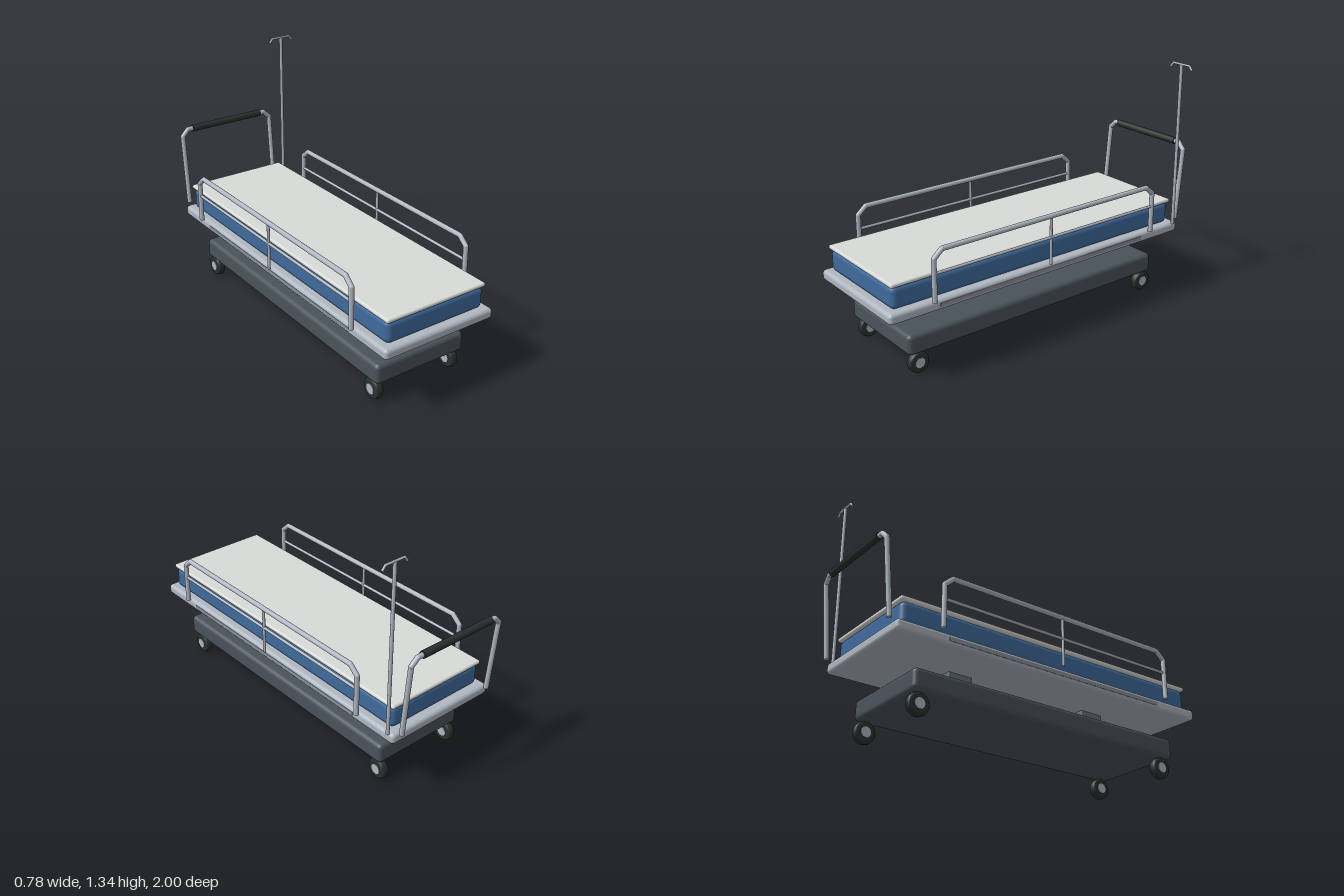
import * as THREE from 'three';
import { RoundedBoxGeometry } from 'three/addons/geometries/RoundedBoxGeometry.js';

const paint = (name, color) => {
  const m = new THREE.MeshStandardMaterial({ color });
  m.name = name;
  return m;
};

export function createModel() {
  const steel = paint('steel', 0xb0b7c2);
  const trim = paint('trim grey', 0x8c929b);
  const sheetMat = paint('sheet', 0xd9dbd8);
  const blue = paint('mattress blue', 0x3f6a9c);
  const dark = paint('base grey', 0x4a525a);
  const columnMat = paint('column grey', 0x67717b);
  const rubber = paint('rubber', 0x29302f);
  const white = paint('motor white', 0xd8dad8);

  const bed = new THREE.Group();
  bed.name = 'stretcher';
  const CX = -0.026; // centre line of the bed

  const add = (name, geometry, material, parent = bed) => {
    const mesh = new THREE.Mesh(geometry, material);
    mesh.name = name;
    parent.add(mesh);
    return mesh;
  };
  const group = (name) => {
    const g = new THREE.Group();
    g.name = name;
    bed.add(g);
    return g;
  };
  // Rounded box given by its limits
  const slab = (name, [x0, x1], [y0, y1], [z0, z1], radius, material, parent) => {
    const mesh = add(name, new RoundedBoxGeometry(x1 - x0, y1 - y0, z1 - z0, 4, radius), material, parent);
    mesh.position.set((x0 + x1) / 2, (y0 + y1) / 2, (z0 + z1) / 2);
    return mesh;
  };
  // Straight rod between two points
  const rod = (name, a, b, radius, material, parent) => {
    const p = new THREE.Vector3(...a), q = new THREE.Vector3(...b);
    const dir = q.clone().sub(p);
    const mesh = add(name, new THREE.CylinderGeometry(radius, radius, dir.length(), 16), material, parent);
    mesh.position.copy(p).add(q).multiplyScalar(0.5);
    mesh.quaternion.setFromUnitVectors(new THREE.Vector3(0, 1, 0), dir.normalize());
    return mesh;
  };
  // Bent pipe: rods with a ball at each bend
  const pipe = (name, points, radius, material, parent) => {
    for (let i = 0; i < points.length - 1; i++) {
      rod(name, points[i], points[i + 1], radius, material, parent);
      if (i > 0) add(name + 'Bend', new THREE.SphereGeometry(radius, 16, 10), material, parent).position.set(...points[i]);
    }
  };

  // Lying surface
  slab('platform', [-0.361, 0.309], [0.352, 0.41], [-0.92, 1.0], 0.02, steel);
  slab('mattress', [CX - 0.299, CX + 0.299], [0.406, 0.53], [-0.877, 0.963], 0.03, blue);
  slab('sheet', [CX - 0.304, CX + 0.304], [0.526, 0.549], [-0.885, 0.968], 0.01, sheetMat);

  // Chassis
  slab('base', [CX - 0.277, CX + 0.277], [0.117, 0.229], [-0.78, 0.867], 0.025, dark);
  for (const z of [0.475, -0.39]) {
    slab('liftColumn', [CX - 0.071, CX + 0.071], [0.22, 0.36], [z - 0.07, z + 0.07], 0.006, columnMat);
    slab('columnFoot', [CX - 0.089, CX + 0.089], [0.222, 0.276], [z - 0.092, z + 0.092], 0.012, dark);
  }

  // Lift motor
  rod('motor', [CX, 0.294, 0.319], [CX, 0.294, 0.726], 0.054, white);
  rod('motorShaft', [CX, 0.297, 0.244], [CX, 0.297, 0.33], 0.028, columnMat);

  // Wheels
  const tyreProfile = [[0, -0.02], [0.04, -0.022], [0.051, -0.021], [0.056, -0.016], [0.058, -0.008],
    [0.058, 0.008], [0.056, 0.016], [0.051, 0.021], [0.04, 0.022], [0, 0.02]]
    .map(([r, y]) => new THREE.Vector2(r, y));
  for (const x of [CX - 0.24, CX + 0.24]) {
    for (const z of [0.797, -0.737]) {
      const wheel = group('wheel');
      wheel.position.set(x, 0.059, z);
      wheel.rotation.z = -Math.PI / 2;
      add('tyre', new THREE.LatheGeometry(tyreProfile, 28), rubber, wheel);
      add('hub', new THREE.CylinderGeometry(0.028, 0.028, 0.048, 14), steel, wheel);
    }
  }

  // Side rails and the trim strips below them
  for (const side of [-1, 1]) {
    const x = CX + side * 0.355;
    const rail = group(side > 0 ? 'leftRail' : 'rightRail');
    pipe('railFrame', [[x, 0.415, 0.76], [x, 0.643, 0.76], [x, 0.685, 0.712], [x, 0.685, -0.636],
      [x, 0.643, -0.684], [x, 0.415, -0.684]], 0.0135, steel, rail);
    rod('railBar', [x, 0.566, 0.76], [x, 0.566, -0.684], 0.008, steel, rail);
    rod('railPost', [x, 0.415, 0.04], [x, 0.685, 0.04], 0.008, steel, rail);
    const strip = add('sideStrip', new THREE.BoxGeometry(0.006, 0.021, 1.35), trim);
    strip.position.set(CX + side * 0.334, 0.381, 0.04);
  }

  // Push handle leaning backwards
  const handle = group('pushHandle');
  const at = (x, y) => [x, y, -0.94 - 0.09 * (y - 0.41)];
  pipe('handleFrame', [at(CX - 0.297, 0.415), at(CX - 0.297, 0.822), at(CX - 0.26, 0.858),
    at(CX + 0.26, 0.858), at(CX + 0.297, 0.822), at(CX + 0.297, 0.415)], 0.0135, steel, handle);
  rod('grip', at(CX - 0.231, 0.858), at(CX + 0.231, 0.858), 0.0195, rubber, handle);

  // Drip pole with two hooks
  const pole = group('dripPole');
  const pz = -0.884;
  rod('poleShaft', [0.309, 0.405, pz], [0.309, 1.335, pz], 0.0095, steel, pole);
  pipe('poleHooks', [[0.233, 1.312, pz], [0.251, 1.335, pz], [0.367, 1.335, pz], [0.385, 1.312, pz]],
    0.0065, steel, pole);

  return bed;
}
